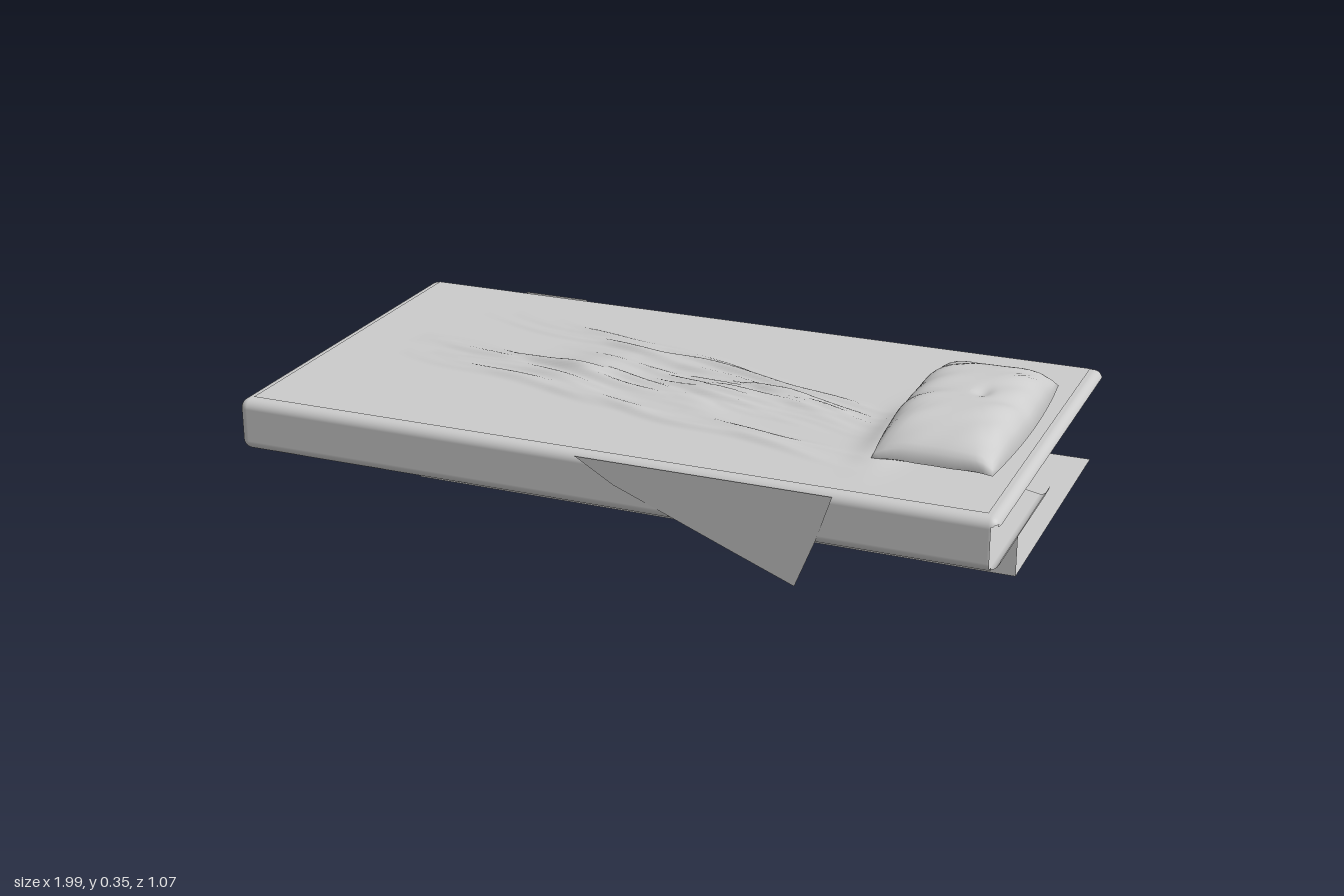
import * as THREE from 'three';
import { RoundedBoxGeometry } from 'three/addons/geometries/RoundedBoxGeometry.js';

const mat = new THREE.MeshStandardMaterial({ color: 0xcccccc, side: THREE.DoubleSide });
const TOP = 0.255, BOTTOM = 0.12, R = 0.025;

function add(parent, name, geometry, x = 0, y = 0, z = 0) {
  const mesh = new THREE.Mesh(geometry, mat);
  mesh.name = name;
  mesh.position.set(x, y, z);
  parent.add(mesh);
  return mesh;
}

function polygon(points) {
  return new THREE.ShapeGeometry(new THREE.Shape(points.map(([x, y]) => new THREE.Vector2(x, y))));
}

// Flat outline given as [x, z], laid on the ground plane
function flat(points) {
  return polygon(points.map(([x, z]) => [x, -z])).rotateX(-Math.PI / 2);
}

function seeded(seed) {
  return () => (seed = (seed * 16807) % 2147483647) / 2147483647;
}

function displace(geometry, rule) {
  const p = geometry.attributes.position, v = new THREE.Vector3();
  for (let i = 0; i < p.count; i++) {
    rule(v.fromBufferAttribute(p, i));
    p.setXYZ(i, v.x, v.y, v.z);
  }
  geometry.computeVertexNormals();
  return geometry;
}

// Rounded block that is open on its left end, its back and its underside
function mattressShell() {
  const box = new RoundedBoxGeometry(1.985, TOP - BOTTOM, 1.062, 4, R);
  const src = box.index ? box.toNonIndexed() : box;
  const p = src.attributes.position, n = src.attributes.normal;
  const pos = [], nor = [], t = new THREE.Triangle(), face = new THREE.Vector3();
  for (let i = 0; i < p.count; i += 3) {
    t.setFromAttributeAndIndices(p, i, i + 1, i + 2).getNormal(face);
    const keep = face.y > 0.3 || (face.x < 0.3 && face.z > -0.3 && face.y > -0.98);
    if (!keep) continue;
    for (let k = i; k < i + 3; k++) {
      pos.push(p.getX(k), p.getY(k), p.getZ(k));
      nor.push(n.getX(k), n.getY(k), n.getZ(k));
    }
  }
  const g = new THREE.BufferGeometry();
  g.setAttribute('position', new THREE.Float32BufferAttribute(pos, 3));
  g.setAttribute('normal', new THREE.Float32BufferAttribute(nor, 3));
  return g;
}

// Thin cover with a fan of long, sharp creases running towards the pillow
function sheetGeometry() {
  const rnd = seeded(71), creases = [];
  for (let i = 0; i < 34; i++) {
    const lane = (i + rnd()) / 34;
    const start = -0.82 + rnd() * 0.95, end = Math.min(0.62, start + 0.35 + rnd() * 0.7);
    creases.push({
      start, end, offset: lane - 0.5,
      amp: 0.004 + rnd() * 0.009, phase: rnd() * 6.28, width: 0.008 + rnd() * 0.008,
    });
  }
  const bump = (x, z, cx, cz, rx, rz) => Math.exp(-(((x - cx) / rx) ** 2) - ((z - cz) / rz) ** 2);
  const g = new THREE.PlaneGeometry(1.92, 1.01, 170, 170).rotateX(-Math.PI / 2);
  return displace(g, (v) => {
    const { x, z } = v;
    let h = 0.018 * bump(x, z, -0.22, -0.02, 0.11, 0.1) + 0.008 * bump(x, z, 0.13, 0.08, 0.1, 0.1)
      + 0.03 * bump(x, z, 0.63, 0.12, 0.05, 0.17);
    for (const c of creases) {
      if (x <= c.start || x >= c.end) continue;
      const t = (x - c.start) / (c.end - c.start);
      const middle = 0.04 + 0.24 * x + c.offset * (0.42 - 0.06 * x) + 0.012 * Math.sin(x * 13 + c.phase);
      const d = z - middle;
      // Steep on one side, gentle on the other
      const w = d > 0 ? c.width : c.width * 2.4;
      h += c.amp * Math.sin(Math.PI * t) * Math.exp(-((d / w) ** 2));
    }
    v.y = Math.min(h, 0.045);
  });
}

// Plump cushion with pointed corners and a soft dip across the middle
function pillowGeometry() {
  const g = new THREE.SphereGeometry(1, 72, 48);
  const square = (a, b) => a / Math.max(Math.abs(a), Math.abs(b), 1e-6) * Math.hypot(a, b);
  return displace(g, (v) => {
    const r = Math.hypot(v.x, v.z);
    const s = Math.min(1, Math.acos(Math.min(1, Math.abs(v.y))) / (Math.PI / 2));
    const a = r > 1e-6 ? v.x / r : 0, b = r > 1e-6 ? v.z / r : 0;
    const m = Math.max(Math.abs(a), Math.abs(b), 1e-6);
    const u = (a / m) * s, w = (b / m) * s;
    const full = Math.pow((1 - u ** 4) * (1 - Math.abs(w) ** 3), 0.55);
    const dip = 1 - 0.09 * Math.exp(-((w / 0.18) ** 2)) - 0.1 * Math.exp(-(((u - 0.2) / 0.12) ** 2) - (w / 0.1) ** 2);
    const pleat = 0.003 * Math.sin(w * 17 + u * 5) * u * u * (1 - u * u) * 4;
    v.x = u * (0.148 + 0.016 * (1 - w * w));
    v.z = w * (0.322 - 0.008 * (1 - u * u));
    v.y = v.y >= 0 ? 0.012 + full * 0.088 * dip + pleat : 0.012 - 0.014 * full;
  });
}

export function createModel() {
  const group = new THREE.Group();
  group.name = 'bed';

  // Mattress
  const mattress = new THREE.Group();
  mattress.name = 'mattress';
  group.add(mattress);
  add(mattress, 'mattressShell', mattressShell(), 0, (TOP + BOTTOM) / 2, 0);
  add(mattress, 'mattressUnderside',
    flat([[-0.97, 0.506], [0.97, 0.506], [0.97, 0.04], [-0.4, -0.506], [-0.97, -0.506]]), 0, BOTTOM, 0);
  // Rounded lower lips along the open sides
  const lip = (length) => new THREE.CylinderGeometry(R, R, length, 4, 1, true, 0, Math.PI / 2);
  add(mattress, 'leftLip', lip(0.466).rotateX(Math.PI / 2), 0.968, BOTTOM + R, 0.273);
  add(mattress, 'backLip', lip(0.57).rotateZ(Math.PI / 2).rotateX(Math.PI), -0.685, BOTTOM + R, -0.506);

  // Sheet and its hanging edges
  add(group, 'sheet', sheetGeometry(), 0, TOP + 0.003, 0);
  const drape = displace(
    polygon([[-0.05, 0.25], [0.05, 0.19], [0.2, 0.13], [0.36, 0.065], [0.51, 0.005], [0.56, 0.13], [0.6, 0.25]]),
    (v) => { v.z = 0.536 - 0.006 * (1 - v.y / 0.25); });
  add(group, 'frontDrape', drape);
  add(group, 'backDrape', polygon([[-0.7, 0.25], [-0.66, 0.225], [-0.58, 0.205], [-0.5, 0.25]]), 0, 0, -0.538);

  // Pillow
  add(group, 'pillow', pillowGeometry(), 0.77, TOP, -0.005);

  // Base: floor, front wall and right end wall with a low toe notch
  const base = new THREE.Group();
  base.name = 'base';
  group.add(base);
  const x0 = -0.62, x1 = 0.975, z0 = -0.51, z1 = 0.27;
  add(base, 'baseFloor', flat([[x0, z1], [x1, z1], [x1, z0], [x0, z0]]), 0, 0.001, 0);
  add(base, 'baseFront', polygon([[x0, 0], [x1, 0], [x1, BOTTOM], [x0, BOTTOM]]), 0, 0, z1);
  const end = polygon([[z0, 0], [-0.43, 0], [-0.405, 0.025], [0.16, 0.025], [0.185, 0], [z1, 0], [z1, BOTTOM], [z0, BOTTOM]]);
  add(base, 'baseEnd', end.rotateY(-Math.PI / 2), x0, 0, 0);
  const toe = polygon([[-0.43, 0], [0.185, 0], [0.16, 0.025], [-0.405, 0.025]]);
  add(base, 'toePanel', toe.rotateY(-Math.PI / 2), x0 + 0.01, 0, 0);
  return group;
}
